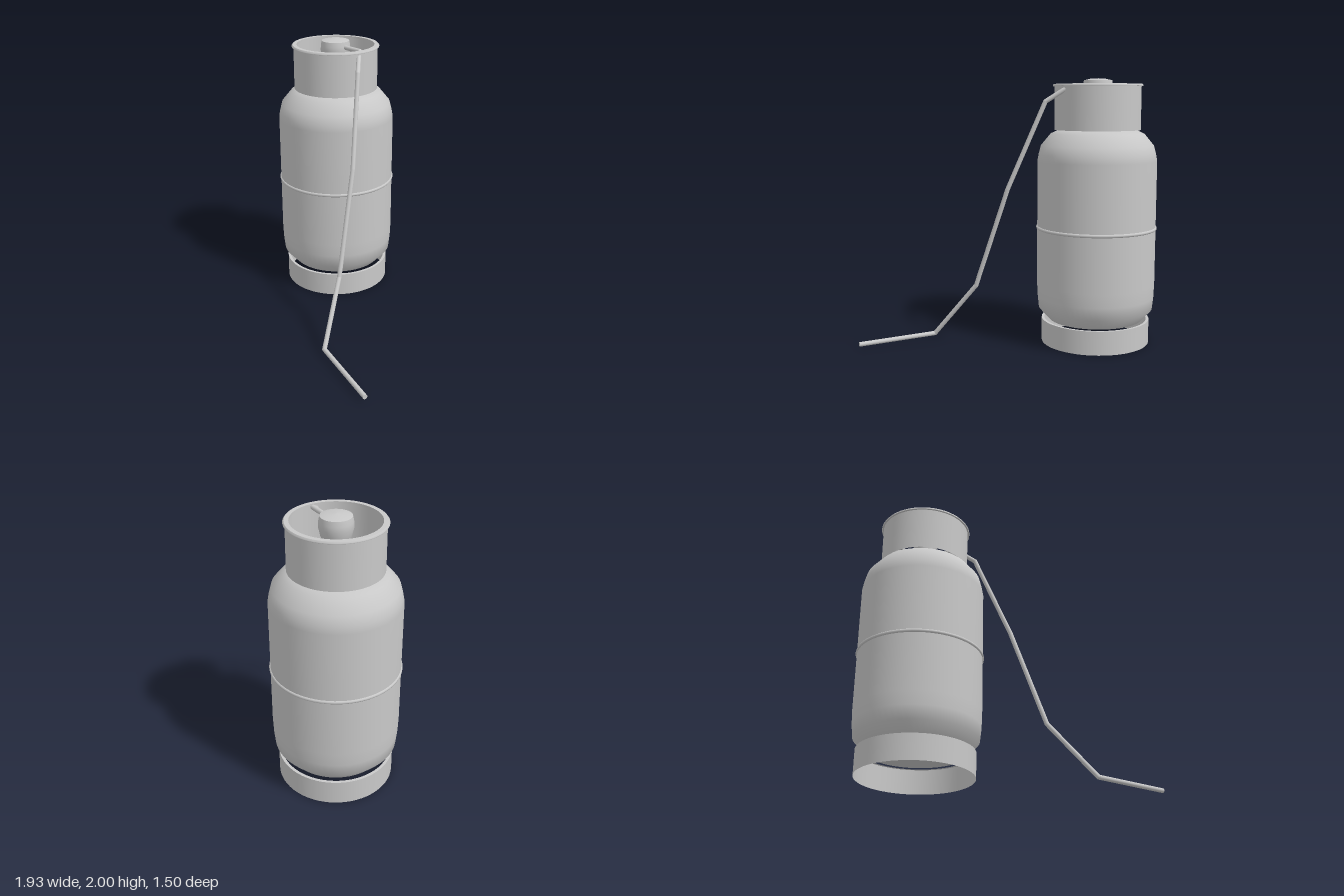
import * as THREE from 'three';

const metal = new THREE.MeshStandardMaterial({ color: 0xc8c8c8, side: THREE.DoubleSide });
metal.name = 'grey metal';

// Revolved part; each profile is smooth in itself, with a sharp edge between profiles
function revolve(name, ...profiles) {
  const part = new THREE.Group();
  part.name = name;
  for (const profile of profiles) {
    const points = profile.map(([r, y]) => new THREE.Vector2(r, y));
    const mesh = new THREE.Mesh(new THREE.LatheGeometry(points, 64), metal);
    mesh.name = name + 'Surface';
    part.add(mesh);
  }
  return part;
}

// Hose of straight runs with rounded elbows
function hose(name, radius, path) {
  const part = new THREE.Group();
  part.name = name;
  const up = new THREE.Vector3(0, 1, 0);
  const points = path.map((p) => new THREE.Vector3(...p));
  for (let i = 0; i < points.length - 1; i++) {
    const run = points[i + 1].clone().sub(points[i]);
    const tube = new THREE.Mesh(new THREE.CylinderGeometry(radius, radius, run.length(), 16), metal);
    tube.name = 'hoseRun';
    tube.position.copy(points[i]).addScaledVector(run, 0.5);
    tube.quaternion.setFromUnitVectors(up, run.normalize());
    part.add(tube);
    if (i > 0) {
      const elbow = new THREE.Mesh(new THREE.SphereGeometry(radius, 16, 10), metal);
      elbow.name = 'hoseElbow';
      elbow.position.copy(points[i]);
      part.add(elbow);
    }
  }
  return part;
}

export function createModel() {
  const model = new THREE.Group();
  model.name = 'gasCylinder';
  const bottle = new THREE.Group();
  bottle.name = 'bottle';
  bottle.position.set(-0.51, 0, -0.295);
  model.add(bottle);

  // Open foot ring with a narrow inner lip, standing clear of the tank
  bottle.add(revolve('footRing',
    [[0.411, 0], [0.411, 0.18]],
    [[0.411, 0.18], [0.39, 0.18]]));

  // Tank with flat bottom and rounded shoulder
  bottle.add(revolve('tank',
    [[0, 0.18], [0.357, 0.18]],
    [[0.357, 0.18], [0.434, 0.265], [0.444, 0.36], [0.448, 0.46], [0.448, 1.39],
      [0.439, 1.44], [0.422, 1.505], [0.35, 1.592], [0.29, 1.62], [0.15, 1.64], [0, 1.645]]));

  // Weld band around the middle
  const band = new THREE.Mesh(new THREE.TorusGeometry(0.444, 0.013, 10, 64), metal);
  band.name = 'weldBand';
  band.rotation.x = Math.PI / 2;
  band.position.y = 0.885;
  bottle.add(band);

  // Collar guarding the valve, with a flat rolled rim
  bottle.add(revolve('collar', [[0.322, 1.62], [0.322, 1.945]]));
  bottle.add(revolve('collarRim',
    [[0.297, 1.942], [0.334, 1.942]],
    [[0.334, 1.942], [0.336, 1.948], [0.328, 1.958]],
    [[0.328, 1.958], [0.297, 1.958]],
    [[0.297, 1.958], [0.297, 1.942]]));

  // Valve: stem, bulging body and domed cap
  bottle.add(revolve('valve',
    [[0.075, 1.63], [0.075, 1.79], [0.1, 1.85], [0.114, 1.91], [0.112, 1.95], [0.105, 1.985]],
    [[0.105, 1.985], [0.06, 1.996], [0, 2]]));

  // Hose from the valve, through the collar and out over the ground
  model.add(hose('hose', 0.017, [
    [-0.43, 1.945, -0.3], [-0.24, 1.945, -0.3], [-0.19, 1.91, -0.245], [-0.1, 1.83, -0.155],
    [0.08, 1.19, 0.055], [0.195, 0.44, 0.29], [0.37, 0.035, 0.585], [0.96, 0.035, 0.735],
  ]));

  return model;
}
